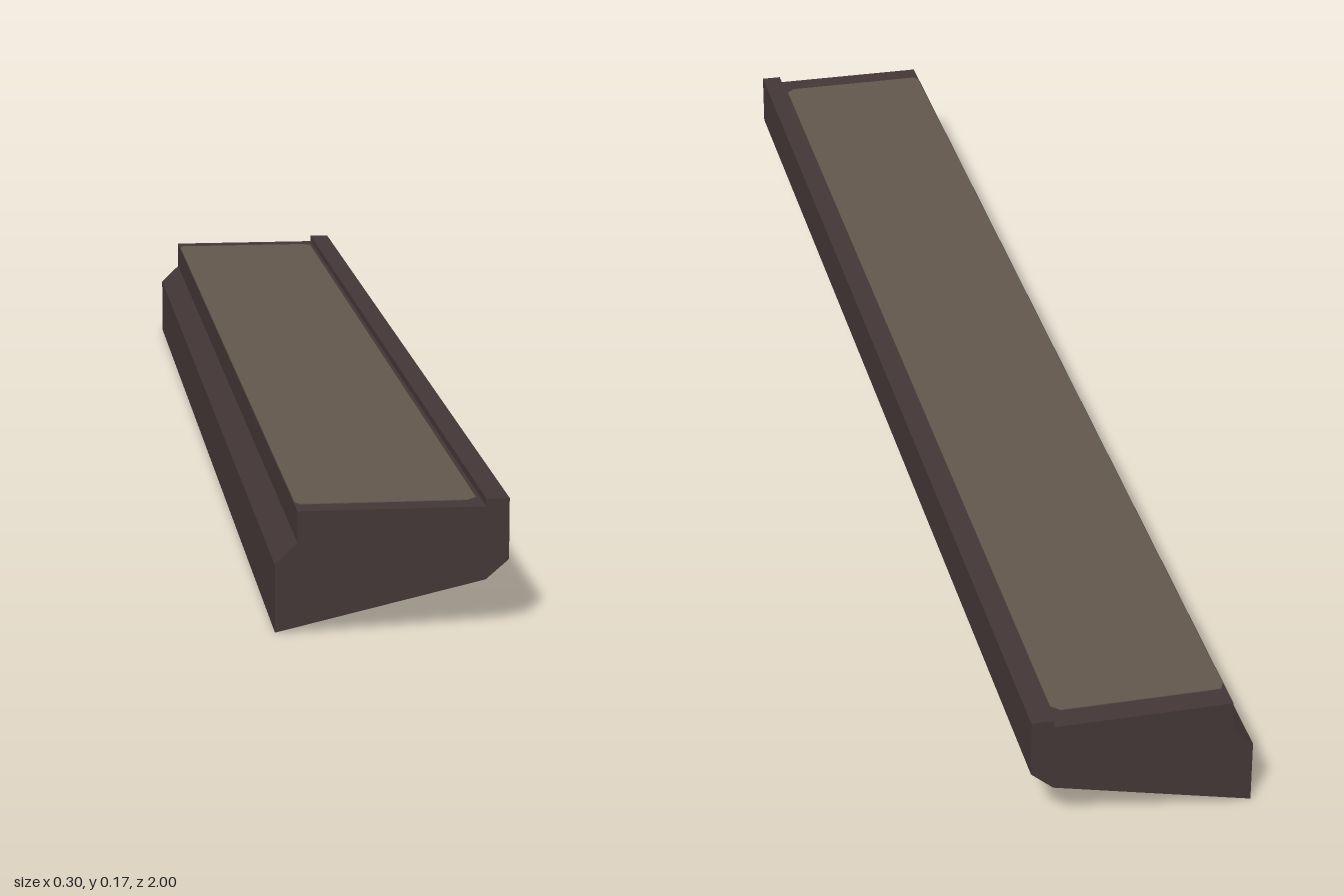
import * as THREE from 'three';

export function createModel() {
  const model = new THREE.Group();
  model.name = 'ledge';
  const frameMaterial = new THREE.MeshStandardMaterial({ color: 0x433736 });
  frameMaterial.name = 'dark brown';
  const panelMaterial = new THREE.MeshStandardMaterial({ color: 0x62574c });
  panelMaterial.name = 'taupe';

  // Constant cross-section: stepped left edge, raised lip and sloping underside
  const profile = new THREE.Shape([
    [-0.15, 0], [0.12, 0.062], [0.15, 0.088], [0.15, 0.168], [0.12, 0.168],
    [0.12, 0.158], [-0.121, 0.158], [-0.121, 0.117], [-0.15, 0.089],
  ].map(([x, y]) => new THREE.Vector2(x, y)));
  const bodyGeometry = new THREE.ExtrudeGeometry(profile, { depth: 2, bevelEnabled: false });
  bodyGeometry.translate(0, 0, -1);
  const body = new THREE.Mesh(bodyGeometry, frameMaterial);
  body.name = 'body';
  model.add(body);

  // Thin inlay with small clipped corners, lying on the top face
  const x0 = -0.12, x1 = 0.114, z = 0.965, c = 0.012;
  const outline = new THREE.Shape([
    [x0 + c / 2, -z], [x1 - c, -z], [x1, -z + c], [x1, z - c],
    [x1 - c, z], [x0 + c / 2, z], [x0, z - c], [x0, -z + c],
  ].map(([x, y]) => new THREE.Vector2(x, y)));
  const panelGeometry = new THREE.ExtrudeGeometry(outline, { depth: 0.001, bevelEnabled: false });
  panelGeometry.rotateX(-Math.PI / 2).translate(0, 0.158, 0);
  const panel = new THREE.Mesh(panelGeometry, panelMaterial);
  panel.name = 'topPanel';
  model.add(panel);

  return model;
}
